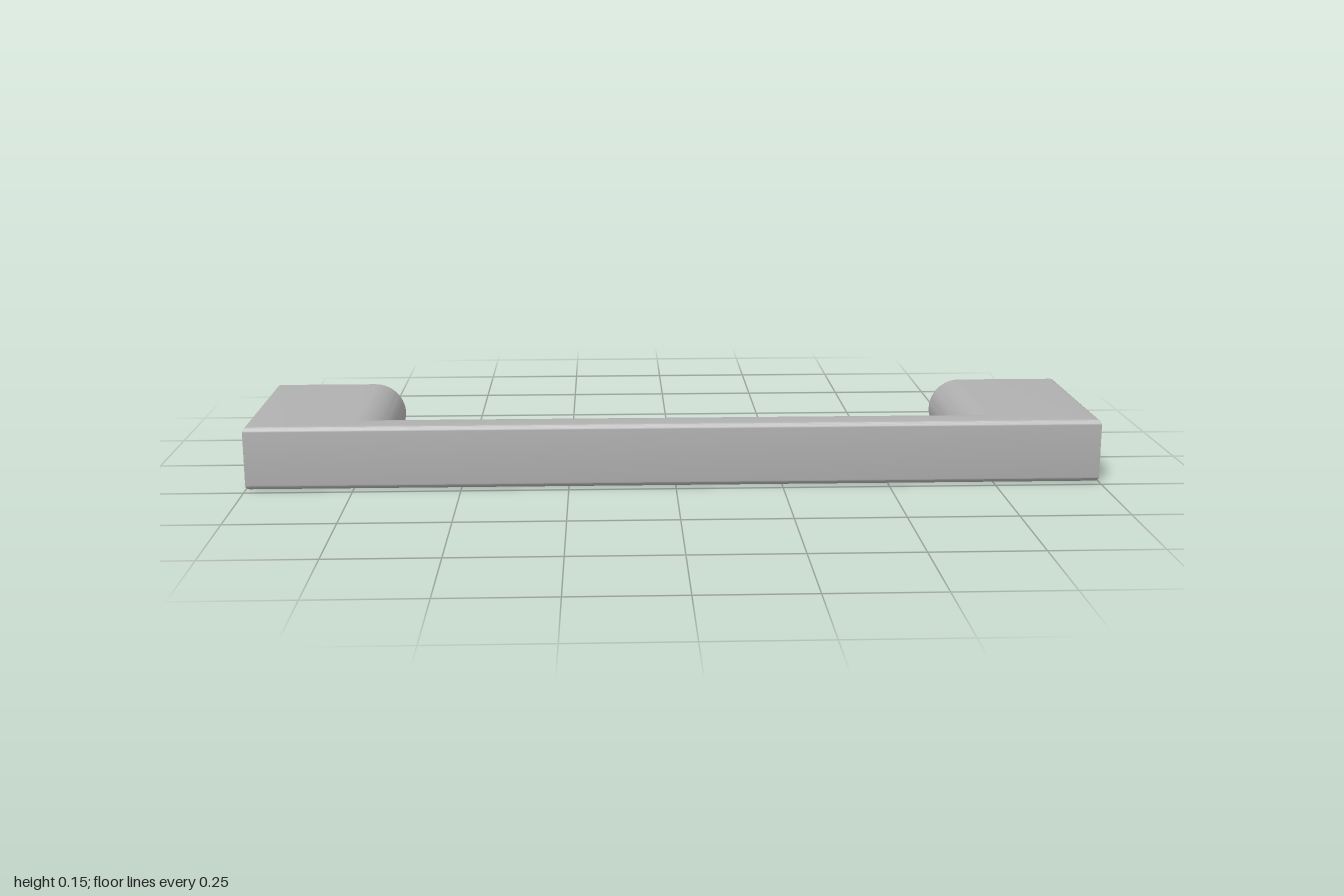
import * as THREE from 'three';
import { toCreasedNormals } from 'three/addons/utils/BufferGeometryUtils.js';

const HEIGHT = 0.15;
const OUTER = { x: 1, z: 0.228 };      // outer corner of the handle in plan
const INNER = { x: 0.675, z: 0.1 };    // inner corner of the handle in plan
const BACK = -0.228;                   // mounting ends of the legs
const FILLET = 0.012;                  // small rounding on the outer edges
const ROUND = HEIGHT / 2;              // full rounding on the inner side

// Cross-section loop: x and z are the plan positions at the mitred corner
function makeProfile() {
  const points = [];
  const arc = (edge, sign, cy, r, from, to, steps) => {
    for (let i = 0; i <= steps; i++) {
      const a = from + (to - from) * i / steps;
      const inset = sign * (r - r * Math.cos(a));
      points.push({ x: edge.x + inset, z: edge.z + inset, y: cy + r * Math.sin(a) });
    }
  };
  const q = Math.PI / 2;
  arc(OUTER, -1, FILLET, FILLET, -q, 0, 6);
  arc(OUTER, -1, HEIGHT - FILLET, FILLET, 0, q, 6);
  arc(INNER, 1, ROUND, ROUND, q, -q, 28);
  return points;
}

// Skin between two matching sections, with optional flat end caps
function loft(a, b, capA, capB) {
  const n = a.length;
  const positions = [...a, ...b].flatMap((p) => p.toArray());
  const index = [];
  for (let j = 0; j < n; j++) {
    const k = (j + 1) % n;
    index.push(j, n + j, n + k, j, n + k, k);
    if (j > 0 && j < n - 1) {
      if (capA) index.push(0, j, j + 1);
      if (capB) index.push(n, n + j + 1, n + j);
    }
  }
  const geometry = new THREE.BufferGeometry();
  geometry.setAttribute('position', new THREE.Float32BufferAttribute(positions, 3));
  geometry.setIndex(index);
  return toCreasedNormals(geometry, Math.PI / 6);
}

export function createModel() {
  const group = new THREE.Group();
  group.name = 'pullHandle';
  const metal = new THREE.MeshStandardMaterial({ color: 0xb0b0b0 });
  metal.name = 'greyMetal';

  const profile = makeProfile();
  const corner = (side) => profile.map((p) => new THREE.Vector3(side * p.x, p.y, p.z));
  const end = (side) => profile.map((p) => new THREE.Vector3(side * p.x, p.y, BACK));

  const add = (name, geometry) => {
    const mesh = new THREE.Mesh(geometry, metal);
    mesh.name = name;
    group.add(mesh);
  };
  // Two mounting legs joined by the grip along mitred corners
  add('rightLeg', loft(end(-1), corner(-1), true, false));
  add('gripBar', loft(corner(-1), corner(1), false, false));
  add('leftLeg', loft(corner(1), end(1), false, true));
  return group;
}
